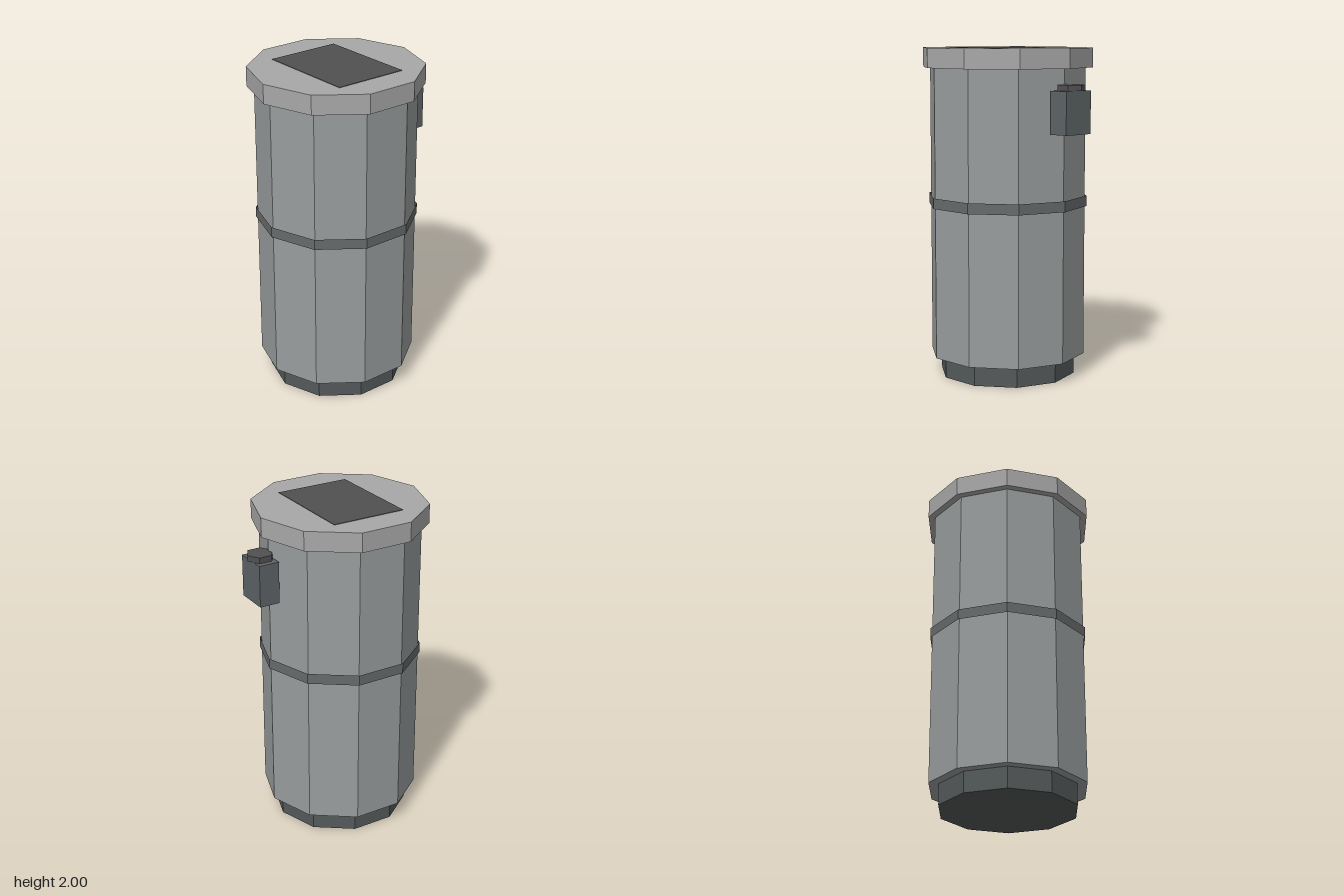
import * as THREE from 'three';

export function createModel() {
  const model = new THREE.Group();
  const axisZ = 0.047; // the drum sits slightly forward of the rear box

  const add = (name, geometry, color, yMid, z, side = THREE.FrontSide) => {
    const material = new THREE.MeshStandardMaterial({ color, flatShading: true, side });
    const mesh = new THREE.Mesh(geometry, material);
    mesh.name = name;
    mesh.position.set(0, yMid, z);
    model.add(mesh);
  };
  // Faceted drum section between two heights, with a corner facing the front
  const drum = (name, radius, y0, y1, color, { sides = 10, z = axisZ, open = false } = {}) =>
    add(name, new THREE.CylinderGeometry(radius, radius, y1 - y0, sides, 1, open), color,
      (y0 + y1) / 2, z, open ? THREE.DoubleSide : THREE.FrontSide);
  const block = (name, w, d, y0, y1, z, color) =>
    add(name, new THREE.BoxGeometry(w, y1 - y0, d), color, (y0 + y1) / 2, z);

  // Ten-sided drum, bottom to top
  drum('base', 0.416, 0, 0.127, 0x54595a);
  drum('body', 0.477, 0.127, 1.88, 0x999d9d);
  drum('bandRing', 0.488, 1.043, 1.107, 0x676a6b, { open: true });
  drum('lid', 0.52, 1.88, 1.997, 0xa8a8a8);

  // Dark panel set in the lid
  block('topPanel', 0.624, 0.458, 1.975, 2.0, axisZ, 0x505050);

  // Small box on the back with a six-sided cap
  block('rearBox', 0.206, 0.125, 1.503, 1.755, -0.4825, 0x5d6365);
  drum('rearBoxCap', 0.081, 1.755, 1.79, 0x505050, { sides: 6, z: -0.485 });

  return model;
}
